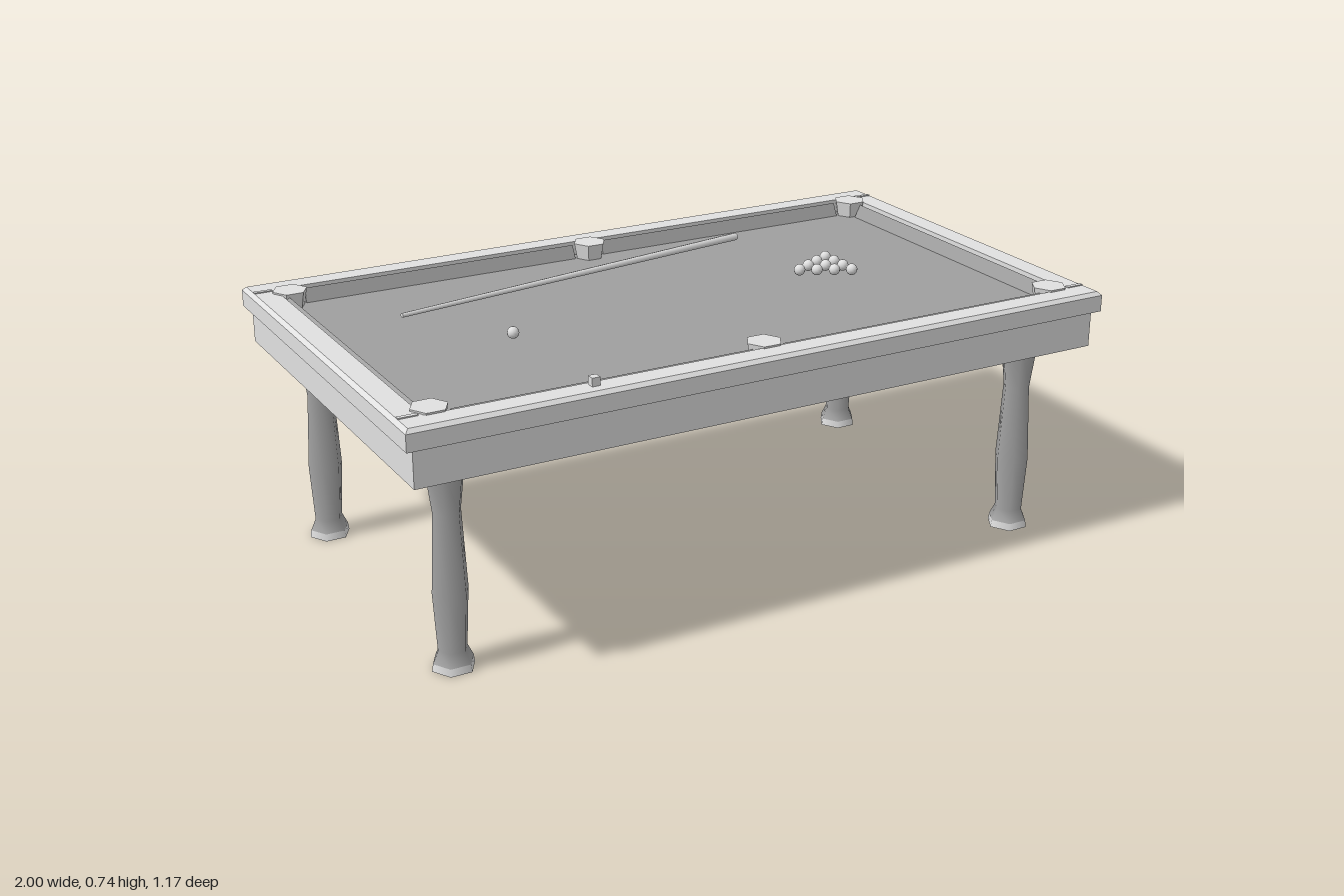
import * as THREE from 'three';

export function createModel() {
  const table = new THREE.Group();
  table.name = 'poolTable';
  const mat = (name, color) => {
    const m = new THREE.MeshStandardMaterial({ color });
    m.name = name;
    return m;
  };
  const pale = mat('paleGrey', 0xe0e0e0);
  const felt = mat('feltGrey', 0x9f9f9f);
  const legGrey = mat('legGrey', 0xa4a4a4);

  const add = (name, geometry, material, x = 0, y = 0, z = 0) => {
    const mesh = new THREE.Mesh(geometry, material);
    mesh.name = name;
    mesh.position.set(x, y, z);
    table.add(mesh);
    return mesh;
  };

  // Body below the rails and the playing bed
  const bedY = 0.668;
  add('apron', new THREE.BoxGeometry(1.96, 0.1, 1.135), pale, 0, 0.603, 0);
  add('bed', new THREE.BoxGeometry(1.87, 0.015, 1.04), felt, 0, bedY - 0.0075, 0);

  // Rectangular ring, optionally with its outer top edge drawn in
  const ring = (w, d, innerW, innerD, height, inset) => {
    const rect = (target, a, b) => target.moveTo(-a, -b).lineTo(a, -b).lineTo(a, b).lineTo(-a, b).closePath();
    const shape = rect(new THREE.Shape(), w, d);
    shape.holes.push(rect(new THREE.Path(), innerW, innerD));
    const g = new THREE.ExtrudeGeometry(shape, { depth: height, bevelEnabled: false });
    g.rotateX(-Math.PI / 2);
    const p = g.attributes.position;
    for (let i = 0; i < p.count; i++) {
      if (p.getY(i) > height / 2 && Math.abs(p.getX(i)) > innerW + 0.01) {
        p.setX(i, p.getX(i) - Math.sign(p.getX(i)) * inset);
        p.setZ(i, p.getZ(i) - Math.sign(p.getZ(i)) * inset);
      }
    }
    g.computeVertexNormals();
    return g;
  };
  add('railFrame', ring(1, 0.583, 0.93, 0.515, 0.045, 0), pale, 0, 0.653, 0);
  add('railTop', ring(1, 0.583, 0.93, 0.515, 0.01, 0.01), pale, 0, 0.698, 0);

  // Cushions: a ridge beside the rail, sloping down to the bed
  const cushion = (length) => {
    const s = new THREE.Shape();
    s.moveTo(0, 0).lineTo(0.036, 0).lineTo(0.017, 0.036).lineTo(0, 0.026).closePath();
    const g = new THREE.ExtrudeGeometry(s, { depth: length, bevelEnabled: false });
    return g.translate(0, 0, -length / 2).rotateY(-Math.PI / 2);
  };
  for (const side of [-1, 1]) {
    for (const half of [-1, 1]) {
      const c = add('longCushion', cushion(0.81), felt, half * 0.45, bedY, side * 0.516);
      c.rotation.y = side < 0 ? 0 : Math.PI;
    }
    const end = add('endCushion', cushion(0.88), felt, side * 0.931, bedY, 0);
    end.rotation.y = side < 0 ? Math.PI / 2 : -Math.PI / 2;
  }

  // Six hexagonal pockets
  for (const x of [-0.9, 0, 0.9]) {
    for (const z of [-0.48, 0.48]) {
      const cup = new THREE.CylinderGeometry(0.048, 0.038, 0.054, 6).toNonIndexed();
      cup.rotateY(Math.PI / 2);
      cup.computeVertexNormals();
      add('pocket', cup, pale, x, 0.686, z);
    }
  }

  // Six-sided legs on thin feet, and the small corner plates on the rails
  const legProfile = [[0.054, 0.02], [0.039, 0.052], [0.048, 0.21], [0.037, 0.42], [0.054, 0.554]]
    .map(([r, y]) => new THREE.Vector2(r, y));
  const legShape = new THREE.LatheGeometry(legProfile, 6).rotateY(Math.PI / 2);
  const footShape = new THREE.CylinderGeometry(0.054, 0.057, 0.02, 6).rotateY(Math.PI / 2);
  for (const x of [-1, 1]) {
    for (const z of [-1, 1]) {
      add('leg', legShape, legGrey, x * 0.85, 0, z * 0.435);
      add('foot', footShape, pale, x * 0.85, 0.01, z * 0.435);
      add('cornerPlate', new THREE.BoxGeometry(0.05, 0.004, 0.012), pale, x * 0.965, 0.709, z * 0.508);
    }
  }

  // Cue ball and racked balls
  const ball = new THREE.SphereGeometry(0.016, 12, 8);
  add('cueBall', ball, pale, -0.503, 0.697, 0.081);
  for (let row = 0; row < 4; row++) {
    for (let i = 0; i <= row; i++) {
      add('rackedBall', ball, pale, 0.414 + row * 0.043, 0.697, -0.003 + (i - row / 2) * 0.045);
    }
  }

  // Cue, thick at the right-hand end
  const tip = new THREE.Vector3(-0.735, 0.73, -0.09);
  const butt = new THREE.Vector3(0.402, 0.708, -0.332);
  const dir = tip.clone().sub(butt);
  const cue = add('cue', new THREE.CylinderGeometry(0.006, 0.011, dir.length(), 8), pale);
  cue.position.copy(tip).add(butt).multiplyScalar(0.5);
  cue.quaternion.setFromUnitVectors(new THREE.Vector3(0, 1, 0), dir.normalize());

  // Chalk cube on the front rail
  add('chalk', new THREE.BoxGeometry(0.022, 0.022, 0.022), pale, -0.503, 0.719, 0.535);

  return table;
}
